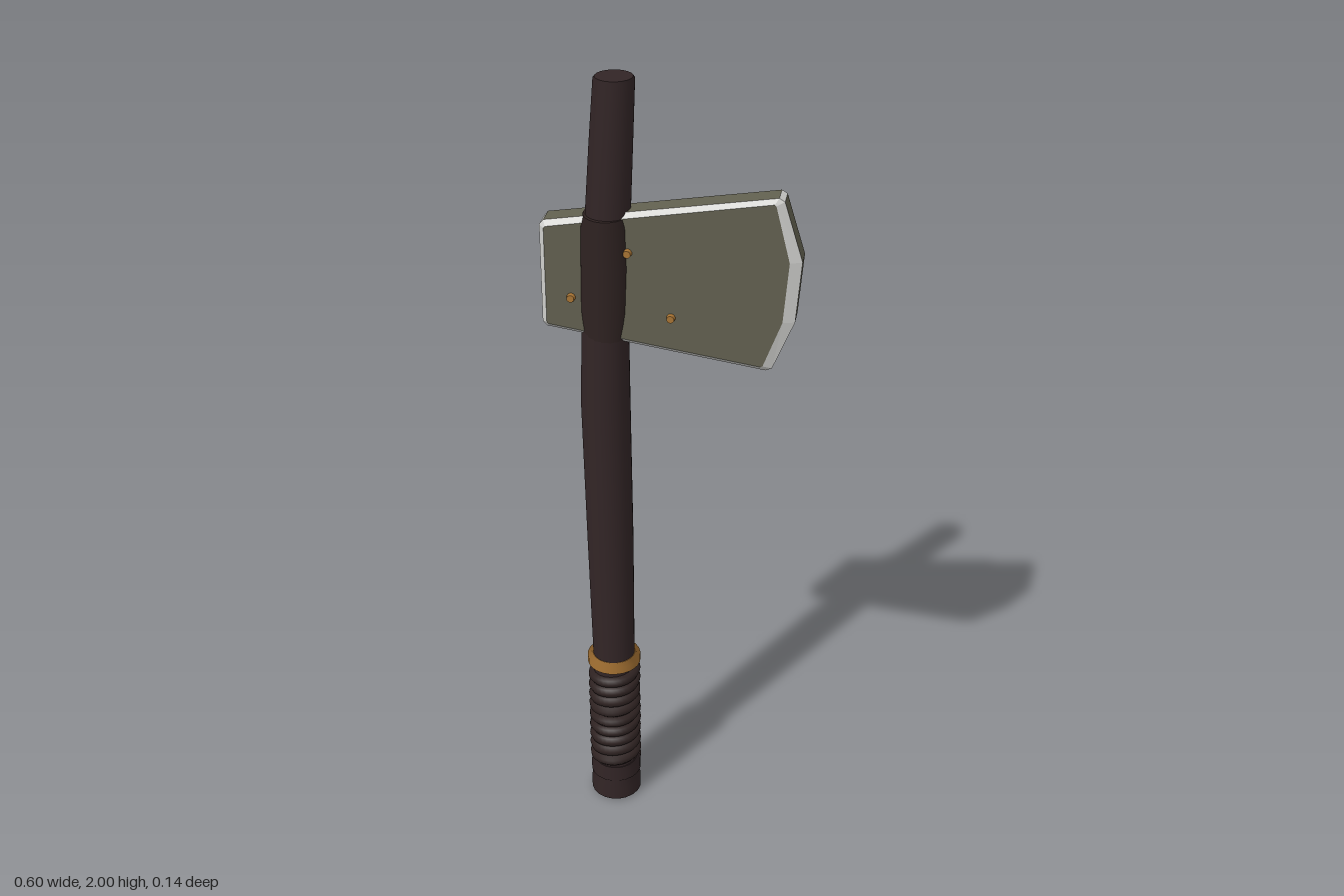
import * as THREE from 'three';

const mat = (name, color, extra = {}) => new THREE.MeshStandardMaterial({ name, color, ...extra });

// Round bar through stations [y, centreX, radiusX, radiusZ]
function loft(stations, sides = 20) {
  const n = stations.length - 1;
  const geo = new THREE.CylinderGeometry(1, 1, 1, sides, n);
  const p = geo.attributes.position;
  for (let i = 0; i < p.count; i++) {
    const [y, cx, rx, rz = rx] = stations[Math.round((p.getY(i) + 0.5) * n)];
    p.setXYZ(i, cx + p.getX(i) * rx, y, p.getZ(i) * rz);
  }
  return geo;
}

// Flat-sided geometry from a list of quads and triangles
function facets(polys) {
  const pos = [];
  for (const f of polys)
    for (let i = 1; i < f.length - 1; i++) pos.push(...f[0], ...f[i], ...f[i + 1]);
  const geo = new THREE.BufferGeometry();
  geo.setAttribute('position', new THREE.Float32BufferAttribute(pos, 3));
  geo.computeVertexNormals();
  return geo;
}

export function createModel() {
  const group = new THREE.Group();
  group.name = 'axe';
  const wood = mat('dark wood', 0x322526);
  const leather = mat('dark leather', 0x2e2221);
  const steel = mat('olive steel', 0x626050);
  const edge = mat('bright edge', 0xcfcfcc);
  const brass = mat('brass', 0xa87434);
  const add = (name, geo, material, parent = group) => {
    const mesh = new THREE.Mesh(geo, material);
    mesh.name = name;
    parent.add(mesh);
    return mesh;
  };
  const cx = -0.153;

  // Slightly bent handle
  add('handle', loft([
    [0.02, cx, 0.054], [0.45, cx, 0.054], [0.8, -0.156, 0.058], [1.2, -0.161, 0.06],
    [1.4, -0.158, 0.056], [1.66, -0.148, 0.053], [1.85, -0.137, 0.05],
    [1.995, -0.128, 0.047], [2.0, -0.128, 0.043],
  ]), wood);

  // Sleeve binding the head to the handle
  add('sleeve', loft([
    [1.375, -0.157, 0.055, 0.056], [1.45, -0.155, 0.062, 0.068], [1.56, -0.152, 0.063, 0.071],
    [1.66, -0.152, 0.06, 0.071], [1.68, -0.15, 0.054, 0.062],
  ]), leather);

  // Pommel with a groove, then a ring below the wrap
  add('pommel', loft([
    [0, cx, 0.06], [0.006, cx, 0.066], [0.04, cx, 0.066], [0.05, cx, 0.058],
    [0.06, cx, 0.058], [0.068, cx, 0.066], [0.095, cx, 0.066], [0.105, cx, 0.056],
  ]), wood);

  // Spiral grip wrap
  const turns = 9.5, coil = [];
  for (let i = 0; i <= turns * 16; i++) {
    const a = (i / 16) * Math.PI * 2;
    coil.push(new THREE.Vector3(cx + Math.cos(a) * 0.053, 0.105 + (i / (turns * 16)) * 0.31, -Math.sin(a) * 0.053));
  }
  add('gripWrap', new THREE.TubeGeometry(new THREE.CatmullRomCurve3(coil), 300, 0.0155, 8), leather);

  // Brass collar above the grip
  add('collar', loft([
    [0.422, cx, 0.058], [0.427, cx, 0.069], [0.446, cx, 0.069], [0.453, cx, 0.055],
  ], 24), brass);

  // Axe head: outer outline and the inset outline of its flat faces
  const outer = [
    [-0.302, 1.41], [-0.292, 1.398], [0.225, 1.322], [0.24, 1.328], [0.29, 1.45],
    [0.302, 1.6], [0.258, 1.742], [0.245, 1.75], [-0.292, 1.664], [-0.302, 1.652],
  ];
  const inner = [
    [-0.29, 1.412], [-0.286, 1.408], [0.214, 1.335], [0.219, 1.337], [0.262, 1.452],
    [0.274, 1.6], [0.24, 1.735], [0.236, 1.738], [-0.286, 1.652], [-0.29, 1.648],
  ];
  const zFace = 0.037, zWall = 0.026;
  const at = (pt, z) => [pt[0], pt[1], z];
  const plates = [], bevels = [];
  plates.push(inner.map((q) => at(q, zFace)), inner.map((q) => at(q, -zFace)).reverse());
  outer.forEach((a, i) => {
    const j = (i + 1) % outer.length, b = outer[j];
    const bevel = (s) => [at(a, s * zWall), at(b, s * zWall), at(inner[j], s * zFace), at(inner[i], s * zFace)];
    bevels.push(bevel(1), bevel(-1).reverse());
    const corner = [0, 2, 6, 8].includes(i);
    (corner ? bevels : plates).push([at(a, -zWall), at(b, -zWall), at(b, zWall), at(a, zWall)]);
  });
  const head = new THREE.Group();
  head.name = 'axeHead';
  group.add(head);
  add('headPlates', facets(plates), steel, head);
  add('headBevels', facets(bevels), edge, head);

  // Rivets running through the head
  for (const [x, y] of [[-0.23, 1.48], [-0.096, 1.6], [0.004, 1.445]]) {
    for (const s of [1, -1]) {
      const rivet = add('rivet', new THREE.CylinderGeometry(0.009, 0.012, 0.02, 10), brass, head);
      rivet.position.set(x, y, s * 0.038);
      rivet.rotation.x = s * Math.PI / 2;
    }
  }
  return group;
}
